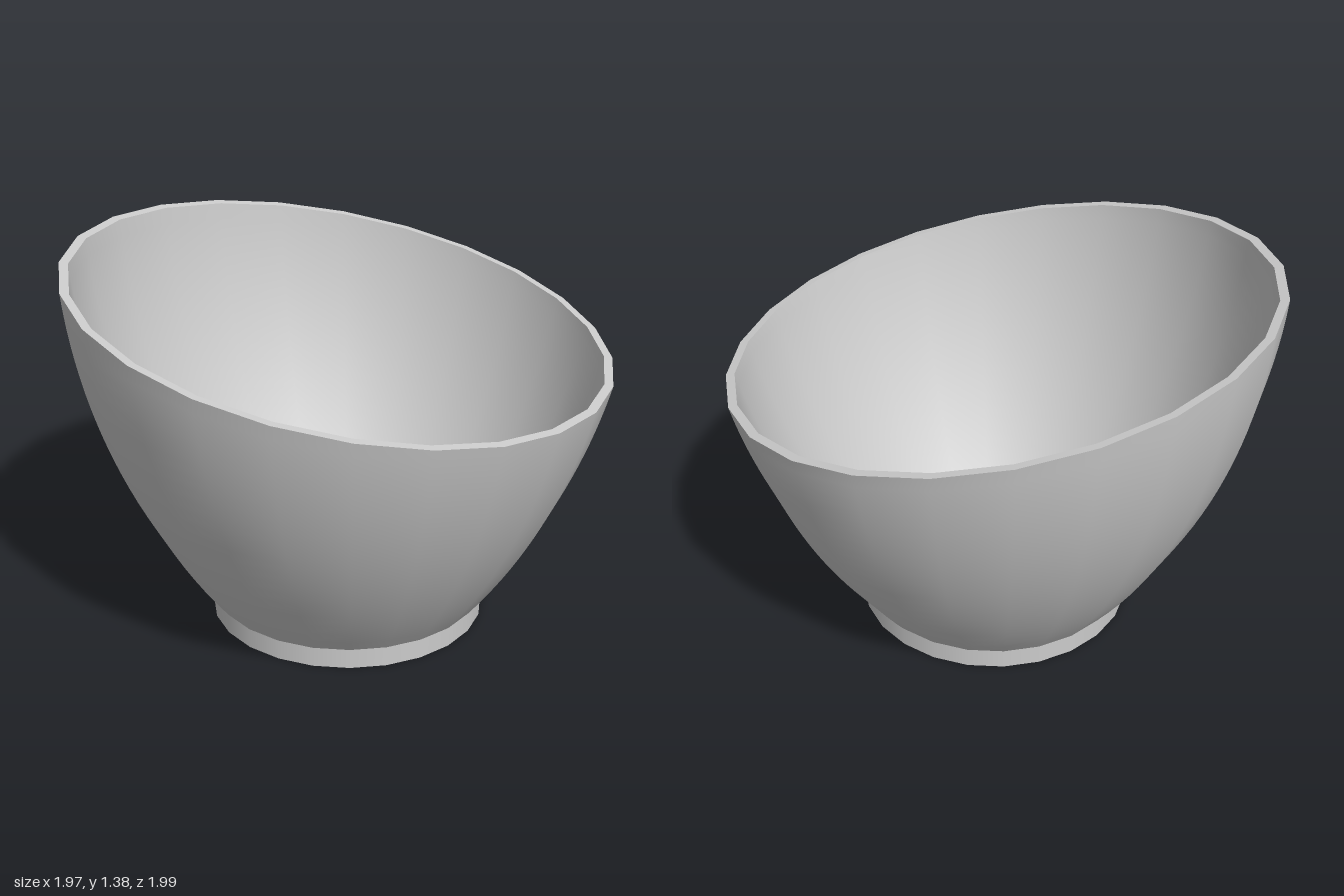
import * as THREE from 'three';

const SIDES = 24, ROWS = 20;
const AXIS_X = 0.028;                       // the foot sits slightly off centre
const FOOT_R = 0.51, FOOT_H = 0.075, FLOOR_Y = 0.105;
const ARC = { x: -1.368, y: 1.556, r: 2.392 }; // circular wall profile
const THICKNESS = 0.032;
const CORNER = 1 / Math.cos(Math.PI / SIDES);  // flat-to-flat radius -> corner radius

const angle = (j) => ((j + 0.5) / SIDES) * Math.PI * 2;
const wallRadius = (y, inset) =>
  (ARC.x + Math.sqrt((ARC.r - inset) ** 2 - (y - ARC.y) ** 2)) * CORNER;
const cutHeight = (x) => 1.178 - 0.2027 * x;   // slanted rim plane

// Point on the wall at side j, with t running from the bottom to the slanted rim
function wallPoint(j, t, bottom, inset) {
  const a = angle(j);
  let top = 1.2;
  for (let k = 0; k < 12; k++) {
    top = cutHeight(AXIS_X + wallRadius(top, inset) * Math.sin(a));
  }
  const y = bottom + (top - bottom) * t;
  const r = wallRadius(y, inset);
  return [AXIS_X + r * Math.sin(a), y, r * Math.cos(a)];
}

// Closed rings joined into a surface facing outwards (or inwards when flipped)
function loft(rings, flip = false) {
  const index = [];
  for (let i = 0; i < rings.length - 1; i++) {
    for (let j = 0; j < SIDES; j++) {
      const n = (j + 1) % SIDES;
      const a = i * SIDES + j, b = i * SIDES + n;
      const c = b + SIDES, d = a + SIDES;
      if (flip) index.push(a, c, b, a, d, c);
      else index.push(a, b, c, a, c, d);
    }
  }
  const g = new THREE.BufferGeometry();
  g.setAttribute('position', new THREE.Float32BufferAttribute(rings.flat(2), 3));
  g.setIndex(index);
  g.computeVertexNormals();
  return g;
}

const ring = (t, bottom, inset) =>
  Array.from({ length: SIDES }, (_, j) => wallPoint(j, t, bottom, inset));
const wall = (bottom, inset) =>
  Array.from({ length: ROWS + 1 }, (_, i) => ring(i / ROWS, bottom, inset));

export function createModel() {
  const model = new THREE.Group();
  model.name = 'slantedBowl';
  const material = new THREE.MeshStandardMaterial({ color: 0xcccccc });
  const add = (name, geometry) => {
    const mesh = new THREE.Mesh(geometry, material);
    mesh.name = name;
    model.add(mesh);
    return mesh;
  };

  // Bowl shell
  add('outerWall', loft(wall(FOOT_H, 0)));
  add('innerWall', loft(wall(FLOOR_Y, THICKNESS), true));
  add('rim', loft([ring(1, FOOT_H, 0), ring(1, FLOOR_Y, THICKNESS)]));

  // Flat floor inside
  const floor = new THREE.CircleGeometry(
    wallRadius(FLOOR_Y, THICKNESS), SIDES, Math.PI / SIDES);
  floor.rotateX(-Math.PI / 2);
  add('floor', floor).position.set(AXIS_X, FLOOR_Y, 0);

  // Short straight foot
  const foot = new THREE.CylinderGeometry(
    FOOT_R * CORNER, FOOT_R * CORNER, FOOT_H, SIDES, 1, false, Math.PI / SIDES);
  add('foot', foot).position.set(AXIS_X, FOOT_H / 2, 0);

  return model;
}
